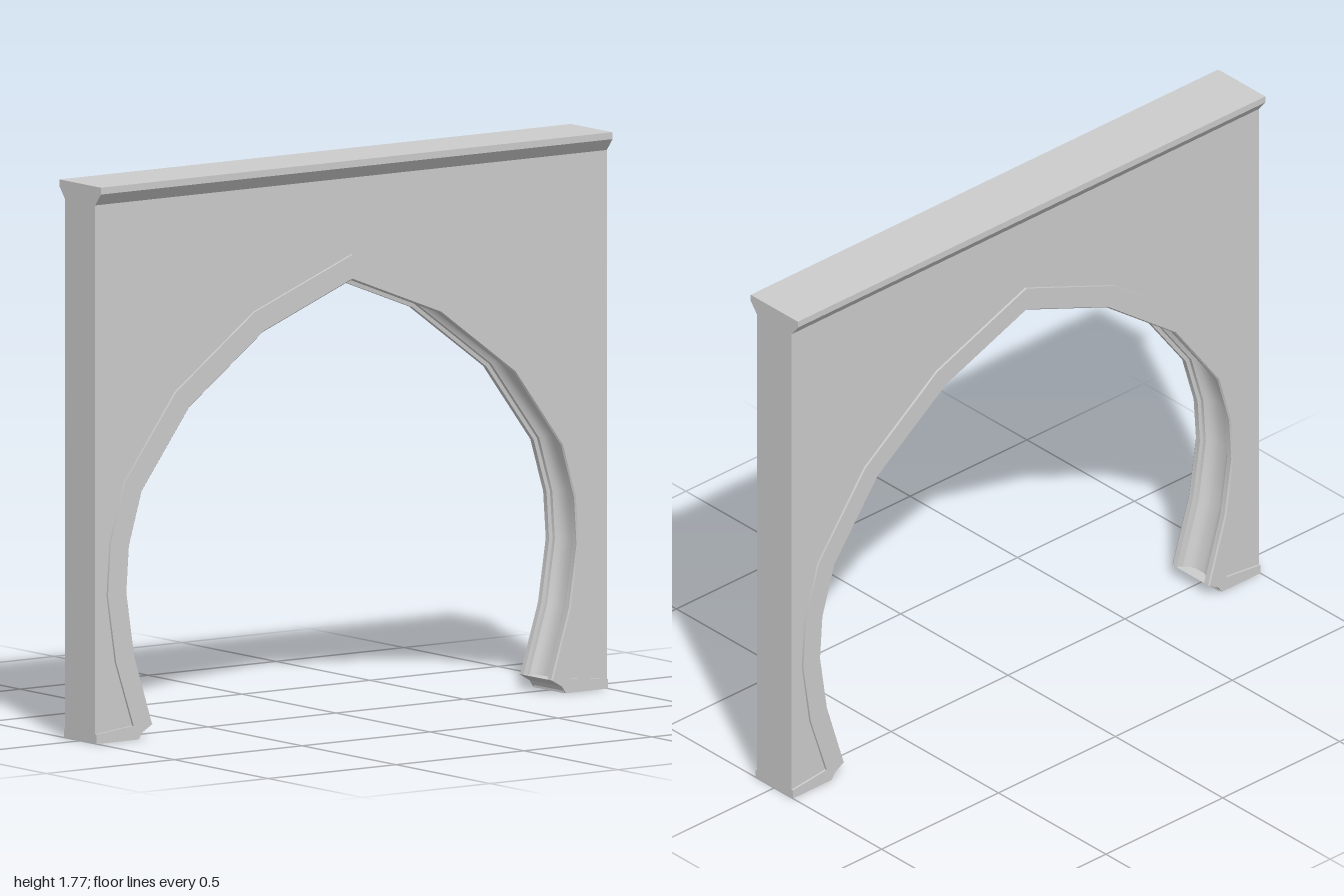
import * as THREE from 'three';
import { toCreasedNormals } from 'three/addons/utils/BufferGeometryUtils.js';

const material = new THREE.MeshStandardMaterial({ color: 0xcccccc });
const WALL = 0.08, BAND = 0.087;

// Arch opening as [z, y], from the +z foot to the apex, then mirrored
const half = [
  [0.78, 0.045], [0.85, 0.27], [0.88, 0.47], [0.87, 0.62],
  [0.82, 0.79], [0.635, 1.04], [0.345, 1.255], [0, 1.39],
];
const arch = [...half, ...half.slice(0, -1).reverse().map(([z, y]) => [-z, y])]
  .map(([z, y]) => new THREE.Vector2(z, y));

// Mitred outward direction at each arch point; horizontal at the feet
const normals = arch.map((p, i) => {
  if (i === 0) return new THREE.Vector2(1, 0);
  if (i === arch.length - 1) return new THREE.Vector2(-1, 0);
  const edgeNormal = (a, b) => new THREE.Vector2(b.y - a.y, a.x - b.x).normalize();
  const n1 = edgeNormal(arch[i - 1], p), n2 = edgeNormal(p, arch[i + 1]);
  const m = n1.clone().add(n2).normalize();
  return m.divideScalar(m.dot(n1));
});
const offsetArch = (d) => arch.map((p, i) => p.clone().addScaledVector(normals[i], d));

function mesh(name, geometry) {
  const m = new THREE.Mesh(geometry, material);
  m.name = name;
  return m;
}

// Extrude a [z, y] outline across the wall thickness
function slab(points, halfWidth) {
  const g = new THREE.ExtrudeGeometry(new THREE.Shape(points), { depth: halfWidth * 2, bevelEnabled: false });
  g.translate(0, 0, -halfWidth);
  g.rotateY(-Math.PI / 2);
  return g;
}

// Sweep the moulding section (x, depth behind the arris) along the arch
function sweepMoulding() {
  const side = [
    [WALL - 0.005, 0.076], [BAND, 0.075], [BAND, 0.004], [0.082, 0],
    [0.064, 0], [0.062, 0.012], [0.052, 0.014], [0.045, 0.027], [0.032, 0.036], [0.016, 0.04],
  ];
  const section = [...side, ...side.slice().reverse().map(([x, d]) => [-x, d])];
  const positions = [], index = [], n = section.length;
  arch.forEach((p, i) => {
    for (const [x, d] of section) {
      positions.push(x, p.y + normals[i].y * d, p.x + normals[i].x * d);
    }
  });
  for (let i = 0; i < arch.length - 1; i++) {
    for (let j = 0; j < n - 1; j++) {
      const a = i * n + j, c = a + n;
      index.push(a, a + 1, c, a + 1, c + 1, c);
    }
  }
  const g = new THREE.BufferGeometry();
  g.setAttribute('position', new THREE.Float32BufferAttribute(positions, 3));
  g.setIndex(index);
  return toCreasedNormals(g, 0.6);
}

export function createModel() {
  const group = new THREE.Group();
  group.name = 'archway';

  // Wall panel, its opening hidden behind the moulding
  const v = (x, y) => new THREE.Vector2(x, y);
  const inner = offsetArch(0.05);
  const outline = [
    v(1, 0), v(1, 1.715), v(-1, 1.715), v(-1, 0), v(-inner[0].x, 0),
    ...inner.slice().reverse(), v(inner[0].x, 0),
  ];
  group.add(mesh('wall', slab(outline, WALL)));

  // Moulded arch surround
  group.add(mesh('archMoulding', sweepMoulding()));

  // Foot blocks under both ends of the arch
  for (const s of [1, -1]) {
    const foot = [[1, 0], [1, 0.03], [0.86, 0.045], [0.78, 0.045], [0.82, 0.022], [0.835, 0]]
      .map(([z, y]) => v(z * s, y));
    group.add(mesh(s > 0 ? 'frontFoot' : 'backFoot', slab(foot, BAND)));
  }

  // Flared cornice along the top
  const cap = new THREE.Shape([
    v(-WALL, 1.715), v(WALL, 1.715), v(0.11, 1.753), v(0.11, 1.775), v(-0.11, 1.775), v(-0.11, 1.753),
  ]);
  const capGeometry = new THREE.ExtrudeGeometry(cap, { depth: 2, bevelEnabled: false });
  capGeometry.translate(0, 0, -1);
  group.add(mesh('cornice', capGeometry));

  return group;
}
